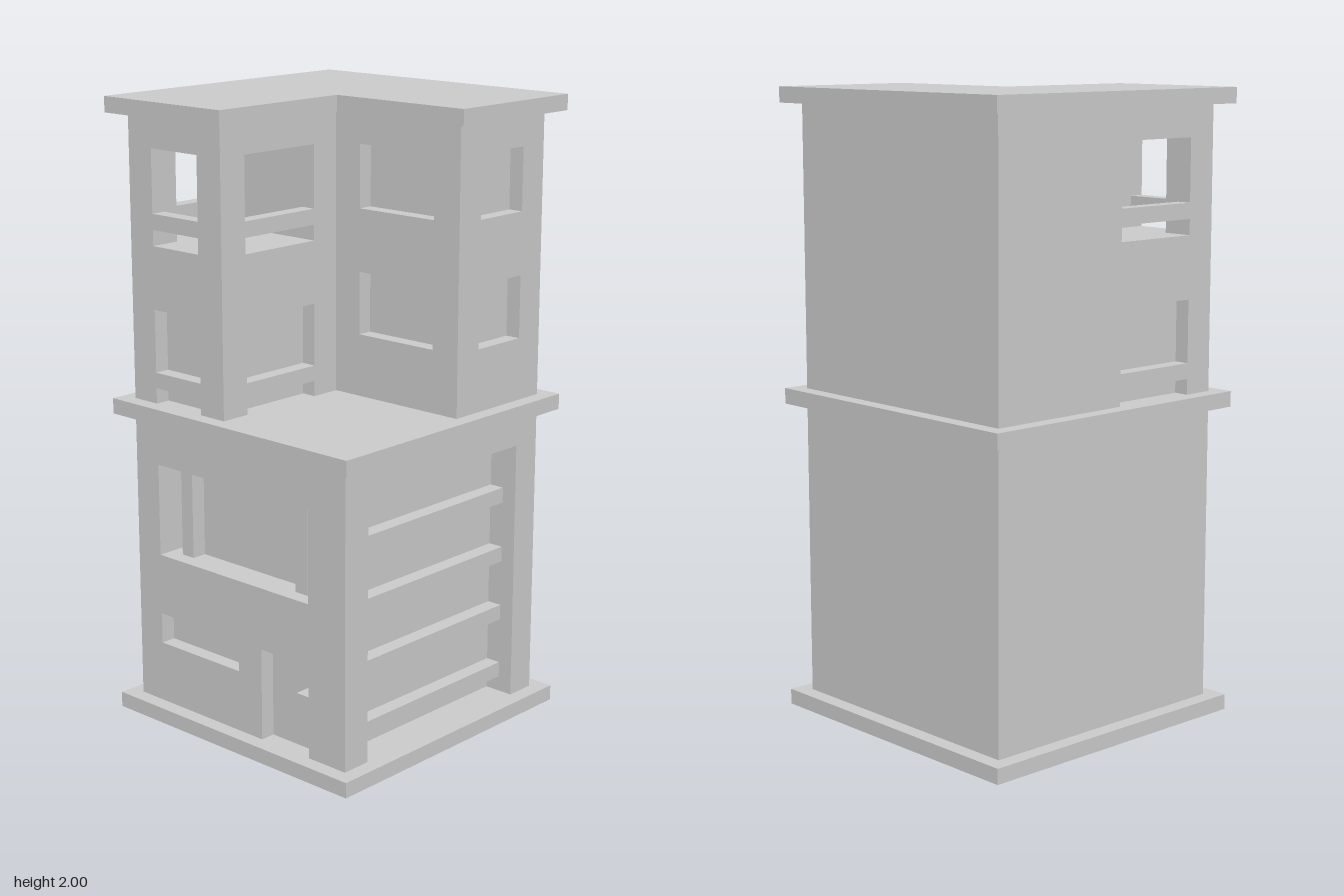
import * as THREE from 'three';

const material = new THREE.MeshStandardMaterial({ color: 0xcccccc, flatShading: true });

export function createModel() {
  const model = new THREE.Group();
  model.name = 'building';

  const add = (name, geometry) => {
    const mesh = new THREE.Mesh(geometry, material);
    mesh.name = name;
    model.add(mesh);
    return mesh;
  };

  // Box given by its limits on each axis
  const box = (name, [x0, x1], [y0, y1], [z0, z1]) =>
    add(name, new THREE.BoxGeometry(x1 - x0, y1 - y0, z1 - z0))
      .position.set((x0 + x1) / 2, (y0 + y1) / 2, (z0 + z1) / 2);

  // Wall sheet with rectangular openings [u0, u1, y0, y1]; its front lies at
  // "face" on the given axis and its thickness runs towards the negative side
  const wall = (name, axis, face, [u0, u1], [y0, y1], openings, thick = 0.05) => {
    const outline = (a, b, c, d, path) => path
      .moveTo(a, c).lineTo(b, c).lineTo(b, d).lineTo(a, d).closePath();
    const shape = outline(u0, u1, y0, y1, new THREE.Shape());
    for (const [a, b, c, d] of openings) shape.holes.push(outline(a, b, c, d, new THREE.Path()));
    const geometry = new THREE.ExtrudeGeometry(shape, { depth: thick, bevelEnabled: false });
    if (axis === 'x') geometry.rotateY(-Math.PI / 2).translate(face, 0, 0);
    else geometry.translate(0, 0, face - thick);
    add(name, geometry);
  };

  // Floor slabs and L-shaped roof
  box('baseSlab', [-0.5, 0.5], [0, 0.05], [-0.5, 0.5]);
  box('middleSlab', [-0.5, 0.5], [1, 1.05], [-0.5, 0.5]);
  const roof = new THREE.Shape([
    [-0.5, -0.5], [0, -0.5], [0, 0], [0.5, 0], [0.5, 0.5], [-0.5, 0.5],
  ].map(([x, y]) => new THREE.Vector2(x, y)));
  add('roof', new THREE.ExtrudeGeometry(roof, { depth: 0.05, bevelEnabled: false })
    .rotateX(-Math.PI / 2).translate(0, 1.95, 0));

  // Lower storey: solid core behind the front wall
  box('lowerCore', [-0.45, 0.35], [0.04, 1.01], [-0.45, 0.35]);
  const bigWindow = [-0.35, 0.3, 0.55, 0.85];
  wall('frontWall', 'z', 0.45, [-0.45, 0.45], [0.02, 1.02],
    [bigWindow, [-0.35, 0, 0.25, 0.35], [0.1, 0.3, 0.05, 0.35]]);
  wall('frontInnerWall', 'z', 0.4, [-0.45, 0.45], [0.02, 1.02], [bigWindow]);
  for (const x of [-0.3, 0.2]) box('windowColumn', [x, x + 0.05], [0.55, 0.85], [0.35, 0.4]);
  box('doorHandle', [0.25, 0.3], [0.2, 0.25], [0.4, 0.45]);

  // Slatted opening on the side
  box('sidePillar', [0.35, 0.45], [0.04, 1.01], [-0.45, -0.35]);
  box('sideLintel', [0.35, 0.45], [0.9, 1.01], [-0.35, 0.35]);
  for (const y of [0.1, 0.3, 0.5, 0.7]) box('slat', [0.35, 0.4], [y, y + 0.05], [-0.35, 0.35]);

  // Upper storey: back wing with recessed windows
  box('backWingCore', [-0.45, 0.4], [1.04, 1.96], [-0.45, -0.1]);
  wall('backWingFront', 'z', -0.05, [-0.05, 0.45], [1.02, 1.97],
    [[0.05, 0.35, 1.65, 1.85], [0.05, 0.35, 1.25, 1.45]]);
  wall('backWingSide', 'x', 0.45, [-0.45, -0.05], [1.02, 1.97],
    [[-0.35, -0.15, 1.65, 1.85], [-0.35, -0.15, 1.25, 1.45]]);

  // Front wing, lower floor: recessed windows with a gap under each sill
  box('wingLink', [-0.45, -0.05], [1.04, 1.96], [-0.1, 0.05]);
  box('frontWingCore', [-0.4, -0.1], [1.04, 1.55], [0, 0.4]);
  const recesses = (a, b) => [[a, b, 1.15, 1.35], [a, b, 1.05, 1.1]];
  wall('frontWingFront', 'z', 0.45, [-0.45, -0.05], [1.02, 1.55], recesses(-0.35, -0.15));
  for (const face of [-0.4, -0.05]) {
    wall('frontWingSide', 'x', face, [0, 0.45], [1.02, 1.55], recesses(0.05, 0.35));
  }

  // Front wing, upper floor: open balcony with corner pillars and rails
  box('balconyCeiling', [-0.45, -0.05], [1.85, 1.96], [0.05, 0.45]);
  for (const x of [-0.45, -0.15]) box('balconyPillar', [x, x + 0.1], [1.55, 1.85], [0.35, 0.45]);
  box('frontRail', [-0.35, -0.15], [1.6, 1.65], [0.4, 0.45]);
  for (const x of [-0.45, -0.1]) box('sideRail', [x, x + 0.05], [1.6, 1.65], [0.05, 0.35]);

  return model;
}
